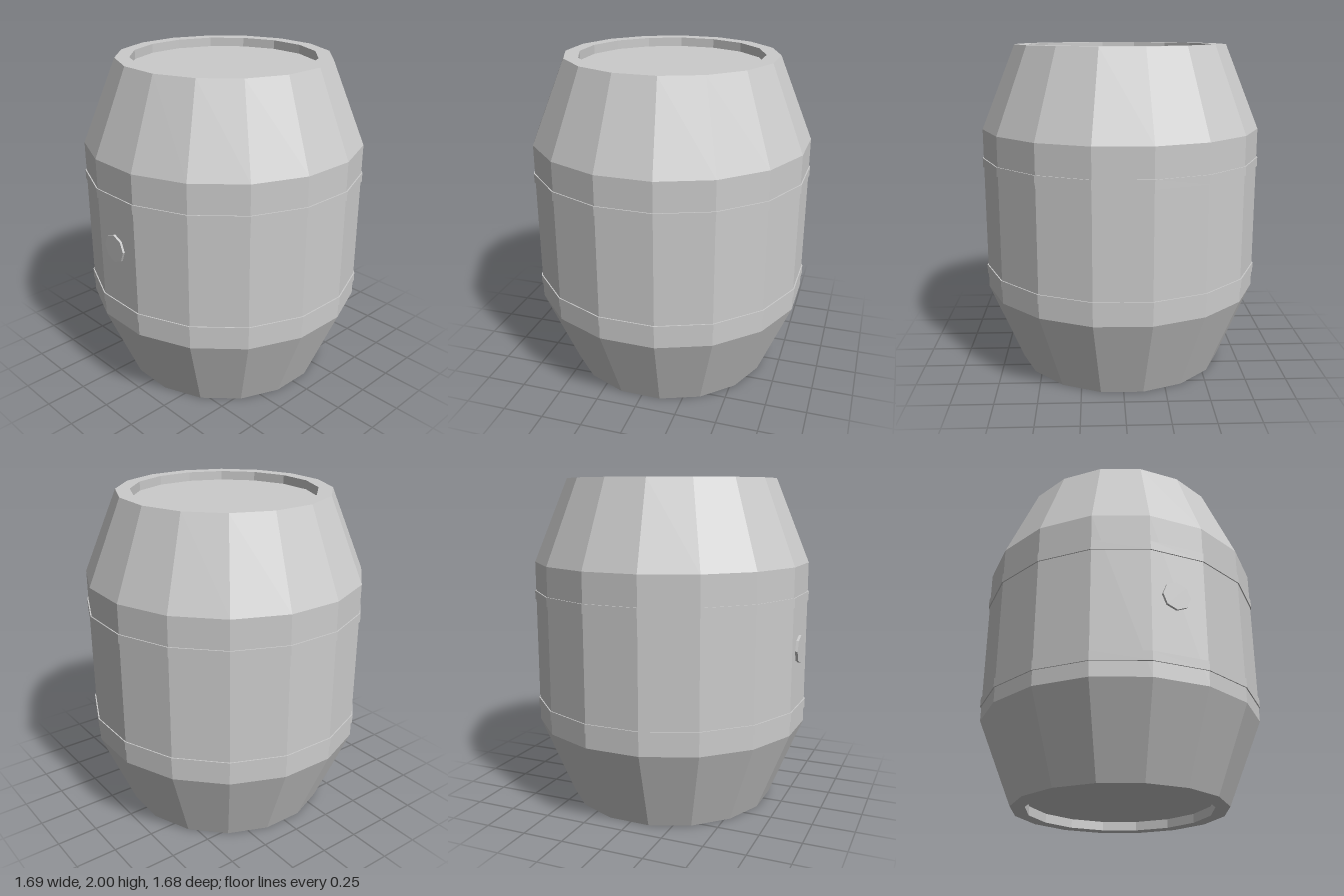
import * as THREE from 'three';

const SIDES = 16;
const TURN = THREE.MathUtils.degToRad(10.4); // rotation of the staves about y

export function createModel() {
  const group = new THREE.Group();
  const material = new THREE.MeshStandardMaterial({ color: 0xcccccc, flatShading: true });

  const add = (name, geometry) => {
    const mesh = new THREE.Mesh(geometry, material);
    mesh.name = name;
    group.add(mesh);
    return mesh;
  };

  // Faceted ring or solid from [radius, height] pairs, listed bottom to top
  const lathe = (name, profile) =>
    add(name, new THREE.LatheGeometry(
      profile.map(([r, y]) => new THREE.Vector2(r, y)), SIDES, TURN));

  // Staves with raised rims around the recessed ends
  const end = 0.643, inner = 0.557, belly = 0.849, depth = 0.055;
  lathe('barrelBody', [
    [inner, depth], [inner, 0], [end, 0], [belly, 0.5],
    [belly, 1.5], [end, 2], [inner, 2], [inner, 2 - depth],
  ]);

  // Recessed end discs
  lathe('bottomHead', [[0, depth], [inner, depth]]);
  lathe('topHead', [[inner, 2 - depth], [0, 2 - depth]]);

  // Thin hoops around the belly
  const hoop = 0.856;
  [['lowerHoop', 0.59], ['upperHoop', 1.27]].forEach(([name, y]) =>
    lathe(name, [[belly - 0.01, y], [hoop, y], [hoop, y + 0.055], [belly - 0.01, y + 0.055]]));

  // Bung plug on the right side
  const bung = add('bung', new THREE.CylinderGeometry(0.085, 0.085, 0.03, 8));
  bung.rotation.z = Math.PI / 2;
  bung.position.set(-0.832, 1, -0.03);

  return group;
}
